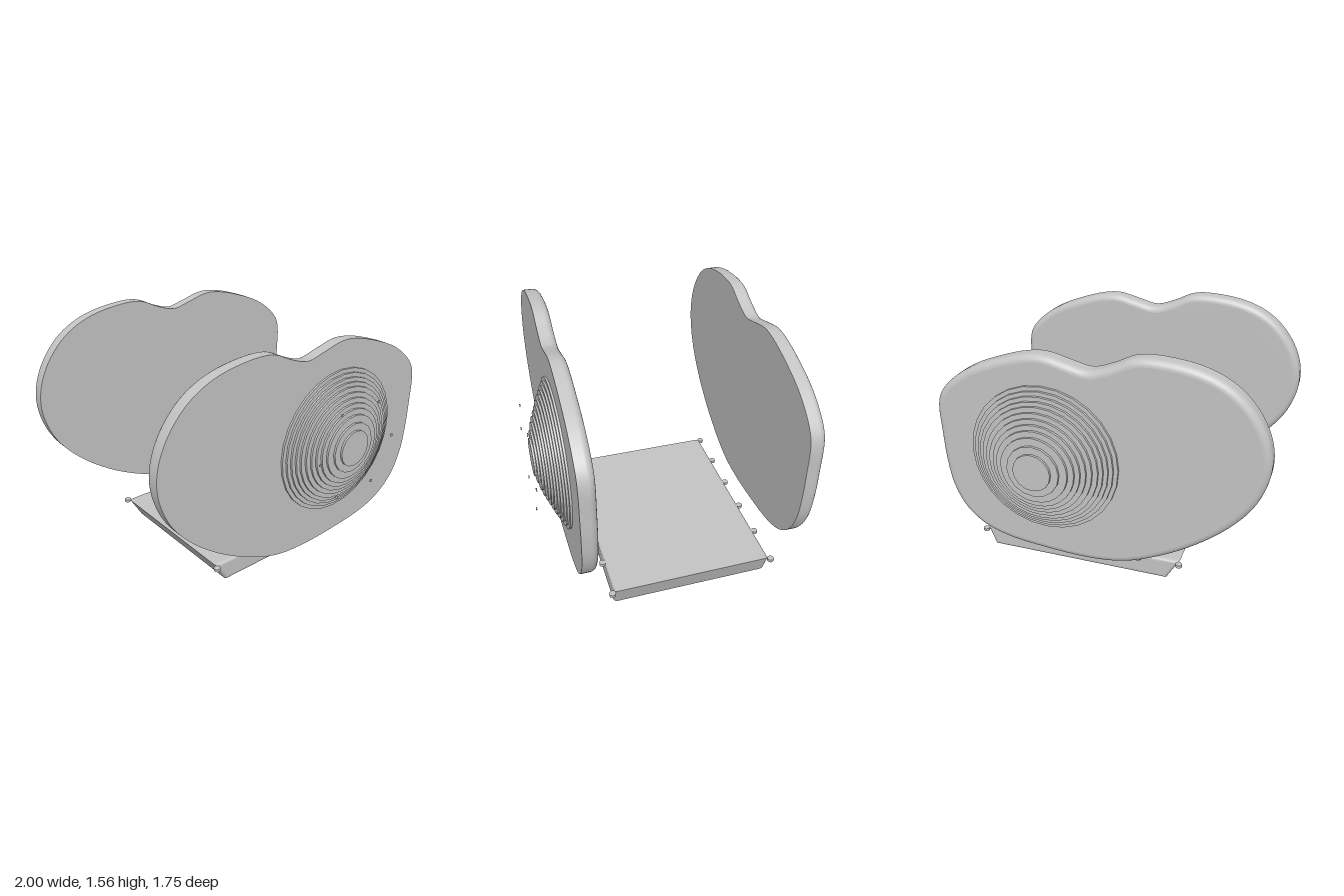
import * as THREE from 'three';

const grey = new THREE.MeshStandardMaterial({ color: 0xc4c4c4 });
grey.name = 'castGrey';

function add(parent, name, geometry, x = 0, y = 0, z = 0) {
  const mesh = new THREE.Mesh(geometry, grey);
  mesh.name = name;
  mesh.position.set(x, y, z);
  parent.add(mesh);
  return mesh;
}

// Counter-clockwise outline of the cover plate
const outline = [
  [-1, 1.03], [-0.98, 0.9], [-0.92, 0.76], [-0.8, 0.61], [-0.62, 0.46], [-0.4, 0.33],
  [-0.17, 0.24], [0.05, 0.215], [0.35, 0.23], [0.6, 0.265], [0.76, 0.325], [0.88, 0.43],
  [0.955, 0.58], [0.985, 0.75], [0.995, 0.95], [0.997, 1.12], [0.975, 1.2], [0.91, 1.28],
  [0.78, 1.375], [0.6, 1.452], [0.42, 1.505], [0.3, 1.515], [0.15, 1.48], [0.03, 1.455],
  [-0.1, 1.495], [-0.22, 1.55], [-0.33, 1.563], [-0.55, 1.54], [-0.7, 1.49], [-0.82, 1.41],
  [-0.92, 1.29], [-0.98, 1.16],
];

// Plate with a square front edge and a rounded back edge
function coverPlate(name, zFront, zBack) {
  const group = new THREE.Group();
  group.name = name;
  const curve = new THREE.CatmullRomCurve3(outline.map(([x, y]) => new THREE.Vector3(x, y, 0)), true);
  const n = 128, r = 0.042, sections = [[0, zFront]];
  for (let i = 0; i <= 6; i++) {
    const a = (i / 6) * Math.PI / 2;
    sections.push([r * (1 - Math.cos(a)), zBack + r * (1 - Math.sin(a))]);
  }
  const ringAt = (inset) => Array.from({ length: n }, (_, j) => {
    const p = curve.getPoint(j / n), t = curve.getTangent(j / n);
    return new THREE.Vector2(p.x - t.y * inset, p.y + t.x * inset);
  });
  const position = [], index = [];
  sections.forEach(([inset, z], i) => {
    ringAt(inset).forEach((p, j) => {
      position.push(p.x, p.y, z);
      if (i === sections.length - 1) return;
      const a = i * n + j, b = i * n + (j + 1) % n;
      index.push(a, a + n, b, b, a + n, b + n);
    });
  });
  const rim = new THREE.BufferGeometry();
  rim.setAttribute('position', new THREE.Float32BufferAttribute(position, 3));
  rim.setIndex(index);
  rim.computeVertexNormals();
  add(group, 'rim', rim);
  add(group, 'frontFace', new THREE.ShapeGeometry(new THREE.Shape(ringAt(0))), 0, 0, zFront);
  const back = new THREE.ShapeGeometry(new THREE.Shape(ringAt(r)));
  const ids = back.index.array;
  for (let i = 0; i < ids.length; i += 3) [ids[i], ids[i + 1]] = [ids[i + 1], ids[i]];
  back.computeVertexNormals();
  add(group, 'backFace', back, 0, 0, zBack);
  return group;
}

// Dome of stacked discs, growing from z0 to z1
const radii = [0.46, 0.435, 0.41, 0.385, 0.36, 0.33, 0.3, 0.27, 0.24, 0.205, 0.16, 0.115];
function steppedDome(name, z0, z1) {
  const group = new THREE.Group();
  group.name = name;
  const step = (z1 - z0) / radii.length;
  radii.forEach((radius, i) => {
    const disc = new THREE.CylinderGeometry(radius, radius, Math.abs(step), radius < 0.2 ? 16 : 28);
    disc.rotateX(Math.PI / 2);
    add(group, 'domeStep', disc, 0.31, 0.88, z0 + step * (i + 0.5));
  });
  return group;
}

export function createModel() {
  const model = new THREE.Group();
  model.name = 'engineCovers';

  model.add(coverPlate('frontCover', 0.697, 0.597), coverPlate('rearCover', -0.59, -0.69));
  model.add(steppedDome('frontDome', 0.697, 0.85), steppedDome('rearDome', -0.69, -0.875));

  // Ring of small screws in front of the dome
  for (let i = 0; i < 6; i++) {
    const a = i * Math.PI / 3;
    const screw = new THREE.CylinderGeometry(0.01, 0.01, 0.006, 8).rotateX(Math.PI / 2);
    add(model, 'domeScrew', screw, 0.31 + 0.31 * Math.cos(a), 0.88 + 0.31 * Math.sin(a), 0.867);
  }

  // Tapered pan with softened ends
  const profile = new THREE.Shape([[-0.475, 0.185], [-0.39, 0.04], [0.8, 0.046], [0.85, 0.185]]
    .map(([x, y]) => new THREE.Vector2(x, y)));
  const pan = new THREE.ExtrudeGeometry(profile, {
    depth: 0.95, bevelEnabled: true, bevelSize: 0.025, bevelOffset: -0.025,
    bevelThickness: 0.025, bevelSegments: 4,
  });
  add(model, 'oilPan', pan, 0, 0, -0.475);

  // Bolts along both long edges of the pan
  for (const side of [-1, 1]) {
    for (let i = 0; i < 6; i++) {
      add(model, 'panBolt', new THREE.CylinderGeometry(0.021, 0.021, 0.018, 12),
        -0.475 + i * 0.265, 0.17, side * 0.512);
    }
  }

  // Hexagonal drain plug
  add(model, 'drainPlug', new THREE.CylinderGeometry(0.043, 0.043, 0.045, 6).toNonIndexed()
    .rotateY(Math.PI / 6), 0.185, 0.0225, 0).geometry.computeVertexNormals();

  return model;
}
